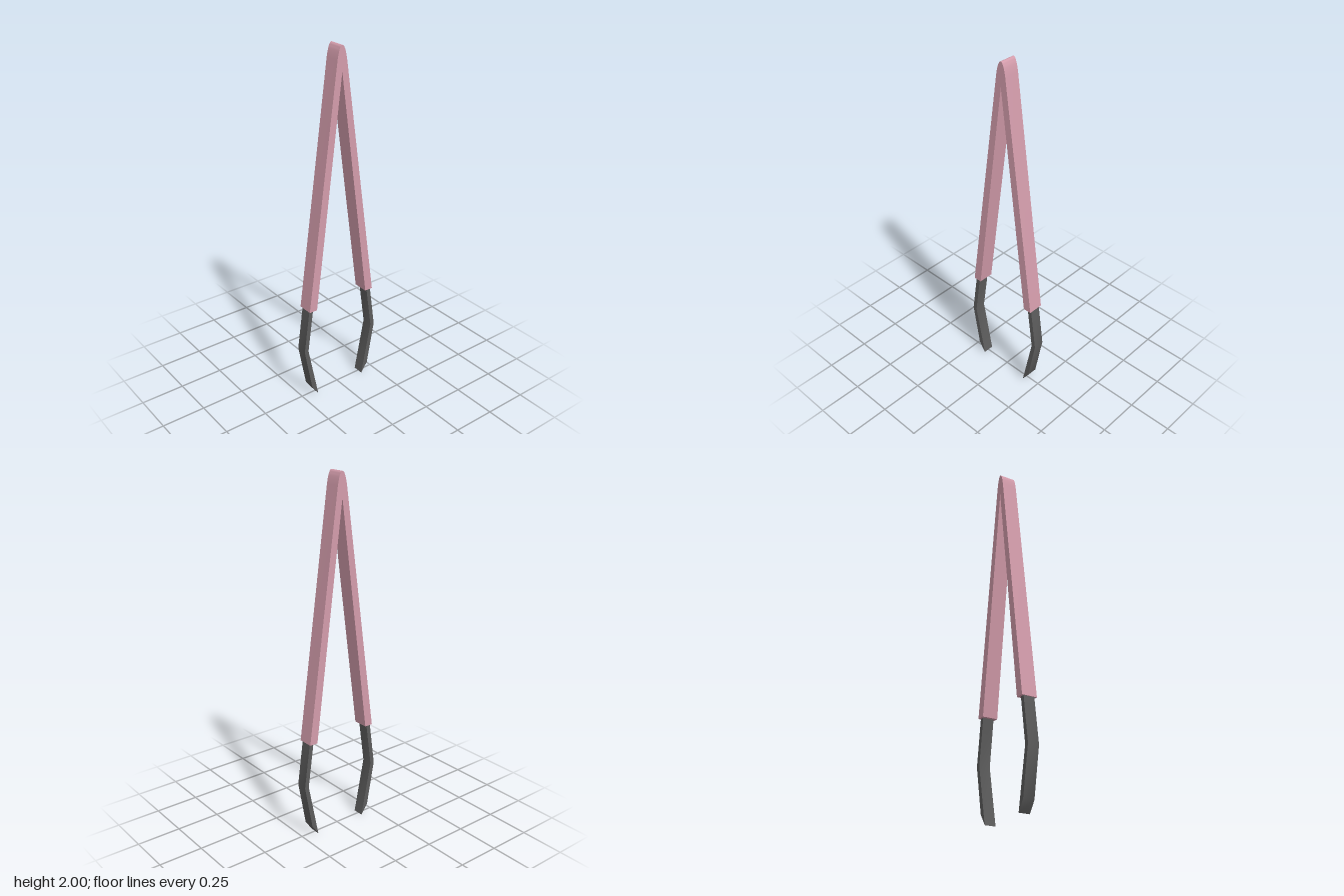
import * as THREE from 'three';
import { toCreasedNormals } from 'three/addons/utils/BufferGeometryUtils.js';

const pink = new THREE.MeshStandardMaterial({ color: 0xd39cab });
const dark = new THREE.MeshStandardMaterial({ color: 0x5c5c5c });

// Extrudes a front outline to a given depth, centred on z = 0
function slab(name, shape, depth, material) {
  const geometry = new THREE.ExtrudeGeometry(shape, { depth, bevelEnabled: false, curveSegments: 8 });
  geometry.translate(0, 0, -depth / 2);
  const mesh = new THREE.Mesh(toCreasedNormals(geometry, 0.6), material);
  mesh.name = name;
  return mesh;
}

export function createModel() {
  const group = new THREE.Group();
  group.name = 'tweezers';

  // Handle: two sloping arms joined by a rounded top
  const handle = new THREE.Shape();
  handle.moveTo(0.169, 0.571);
  handle.lineTo(0.217, 0.571);
  handle.lineTo(0.029, 1.93);
  handle.bezierCurveTo(0.021, 1.975, 0.012, 2, 0, 2);
  handle.bezierCurveTo(-0.012, 2, -0.021, 1.975, -0.029, 1.93);
  handle.lineTo(-0.217, 0.571);
  handle.lineTo(-0.169, 0.571);
  handle.lineTo(0, 1.868);
  handle.closePath();
  group.add(slab('handle', handle, 0.087, pink));

  // Prongs: bent outward at the elbow, cut to a point at the tip
  const profile = [
    [0.18, 0.62], [0.222, 0.317], [0.159, 0], [0.2, 0.06], [0.247, 0.317], [0.205, 0.62],
  ];
  for (const [name, side] of [['leftProng', 1], ['rightProng', -1]]) {
    const outline = new THREE.Shape(profile.map(([x, y]) => new THREE.Vector2(side * x, y)));
    const prong = slab(name, outline, 0.063, dark);
    group.add(prong);
  }
  return group;
}
